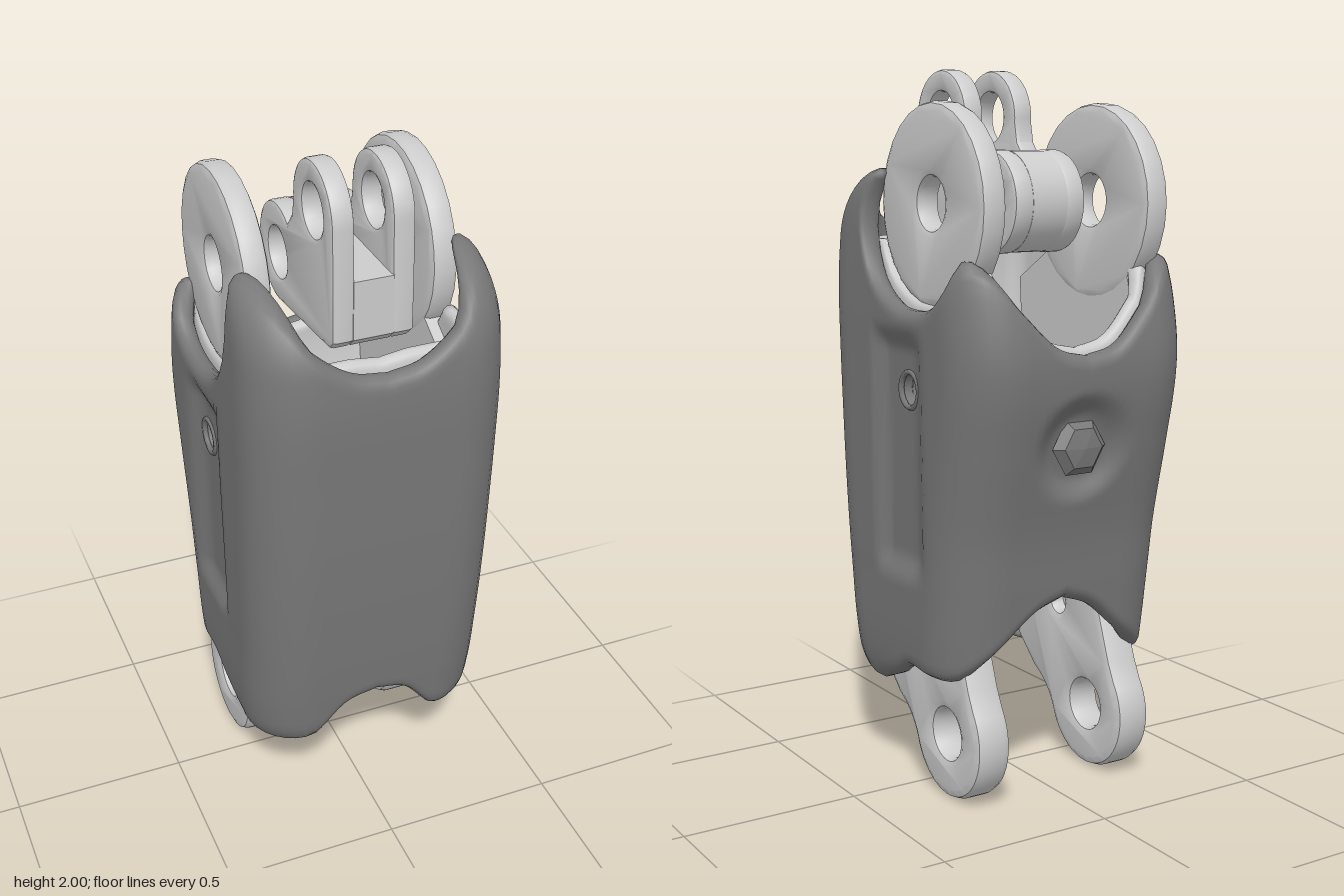
import * as THREE from 'three';
import { toCreasedNormals } from 'three/addons/utils/BufferGeometryUtils.js';

const light = new THREE.MeshStandardMaterial({ color: 0xcccccc, side: THREE.DoubleSide });
const dark = new THREE.MeshStandardMaterial({ color: 0x787878, side: THREE.DoubleSide });
const HOLE = { z: -0.045, y: 1.14, r: 0.045 };

// Smooth curve through [position, value] pairs
function curve(pairs) {
  const c = new THREE.CubicInterpolant(pairs.map(p => p[0]), pairs.map(p => p[1]), 1);
  return t => c.evaluate(t)[0];
}
const step = THREE.MathUtils.smoothstep;

// Body section by height: front, back and half width
const front = curve([[0.26, 0.31], [0.32, 0.355], [0.4, 0.37], [0.8, 0.41], [1.2, 0.43], [1.5, 0.43], [1.6, 0.41], [1.68, 0.355], [1.74, 0.27]]);
const back = curve([[0.26, -0.28], [0.36, -0.285], [0.6, -0.315], [0.75, -0.335], [1, -0.39], [1.15, -0.42], [1.25, -0.425], [1.4, -0.4], [1.5, -0.37], [1.74, -0.36]]);
const halfWidth = curve([[0.26, 0.325], [0.35, 0.345], [0.6, 0.355], [1, 0.36], [1.5, 0.36], [1.65, 0.35], [1.74, 0.325]]);

// Rim heights by angle, 0 at the front to PI at the back
const topRim = curve([[0, 1.51], [0.27, 1.53], [0.507, 1.6], [0.686, 1.69], [0.86, 1.73], [1.08, 1.69], [1.228, 1.52], [1.337, 1.44],
  [1.571, 1.375], [1.78, 1.36], [2.015, 1.375], [2.19, 1.44], [2.306, 1.5], [2.467, 1.47], [2.634, 1.38], [2.87, 1.28], [Math.PI, 1.25]]);
const bottomRim = curve([[0, 0.44], [0.27, 0.41], [0.46, 0.33], [0.55, 0.29], [0.7, 0.27], [0.95, 0.265], [1.127, 0.28],
  [1.571, 0.32], [1.85, 0.36], [2.16, 0.355], [2.35, 0.36], [2.55, 0.42], [2.87, 0.53], [Math.PI, 0.57]]);

// Columns round a rounded rectangle: arc points, then a straight run
const columns = [];
for (let k = 0; k < 4; k++) {
  for (let i = 0; i < 8; i++) columns.push({ k, a: (k + i / 8) * Math.PI / 2, f: 0 });
  for (let i = 0; i < 20; i++) columns.push({ k, a: (k + 1) * Math.PI / 2, f: i / 20 });
}
function sectionPoint({ k, a, f }, hw, zf, zb, inset) {
  const r = 0.16, cz = (zf + zb) / 2, hd = (zf - zb) / 2;
  const corner = n => {
    const m = (n + 0.5) * Math.PI / 2;
    return [Math.sign(Math.sin(m)) * (hw - r), cz + Math.sign(Math.cos(m)) * (hd - r)];
  };
  const p = corner(k), q = corner(k + 1), rr = r - inset;
  return [p[0] + (q[0] - p[0]) * f + rr * Math.sin(a), p[1] + (q[1] - p[1]) * f + rr * Math.cos(a)];
}

// Hollow sleeve with rounded rims, side holes and optional pressed details
function sleeve(t0, t1, top, bottom, detailed) {
  const rows = 56, bend = 5, half = (t1 - t0) / 2, loop = [];
  for (let j = 0; j <= rows; j++) loop.push({ v: j / rows, s: -1, e: 0 });
  for (let j = 1; j < bend; j++) { const b = j / bend * Math.PI; loop.push({ v: 1, s: -Math.cos(b), e: Math.sin(b) }); }
  for (let j = rows; j >= 0; j--) loop.push({ v: j / rows, s: 1, e: 0 });
  for (let j = 1; j < bend; j++) { const b = j / bend * Math.PI; loop.push({ v: 0, s: Math.cos(b), e: -Math.sin(b) }); }
  const pos = [], cut = [], index = [], n = columns.length, m = loop.length;
  for (const c of columns) {
    const ref = sectionPoint(c, 0.36, 0.42, -0.42, 0);
    const phi = Math.atan2(Math.abs(ref[0]) / 0.36, ref[1] / 0.42);
    const lo = bottom(phi) + half, hi = top(phi) - half;
    for (const l of loop) {
      let y = lo + (hi - lo) * l.v + half * l.e;
      let [x, z] = sectionPoint(c, halfWidth(y), front(y), back(y), t0 + half * (1 + l.s));
      if (detailed && l.s === -1) {
        // long side groove and round dimple on the back
        if (Math.abs(x) > 0.3) x -= Math.sign(x) * 0.028 * step(0.115 - z, 0, 0.04) * step(z, -0.17, -0.07) * step(y, 0.6, 0.68) * step(1.32 - y, 0, 0.08);
        if (z < -0.25) z += 0.035 * (1 - step(Math.hypot(x, y - 1), 0.08, 0.16));
      }
      const dz = z - HOLE.z, dy = y - HOLE.y, d = Math.hypot(dz, dy);
      const inside = Math.abs(x) > 0.2 && d <= HOLE.r;
      if (inside && d > 1e-5) { z = HOLE.z + dz * HOLE.r / d; y = HOLE.y + dy * HOLE.r / d; }
      pos.push(x, y, z);
      cut.push(inside);
    }
  }
  for (let i = 0; i < n; i++) for (let j = 0; j < m; j++) {
    const i2 = (i + 1) % n, j2 = (j + 1) % m;
    const a = i * m + j, b = i2 * m + j, c = i2 * m + j2, d = i * m + j2;
    if (!(cut[a] && cut[b] && cut[c] && cut[d])) index.push(a, b, c, a, c, d);
  }
  const g = new THREE.BufferGeometry();
  g.setAttribute('position', new THREE.Float32BufferAttribute(pos, 3));
  g.setIndex(index);
  g.computeVertexNormals();
  return g;
}

// Plate cut from a (z, y) outline, spanning x0 to x1, with round holes [z, y, r]
function plate(shape, x0, x1, holes = [], bevel = 0.015) {
  for (const [z, y, r] of holes) shape.holes.push(new THREE.Path().absarc(z, y, r, 0, Math.PI * 2, true));
  const g = new THREE.ExtrudeGeometry(shape, {
    depth: x1 - x0 - 2 * bevel, bevelEnabled: bevel > 0, bevelThickness: bevel, bevelSize: bevel,
    bevelOffset: -bevel, bevelSegments: 2, curveSegments: 14
  });
  g.rotateY(-Math.PI / 2).translate(x1 - bevel, 0, 0);
  return toCreasedNormals(g, 0.5);
}
const outline = pts => new THREE.Shape(pts.map(p => new THREE.Vector2(...p)));

export function createModel() {
  const group = new THREE.Group();
  const add = (name, geometry, material = light) => {
    const mesh = new THREE.Mesh(geometry, material);
    mesh.name = name;
    group.add(mesh);
    return mesh;
  };

  // Outer cover and inner liner
  add('outerShell', sleeve(0, 0.06, topRim, bottomRim, true), dark);
  add('innerLiner', sleeve(0.062, 0.105, a => Math.min(topRim(a) + 0.015, 1.535), a => bottomRim(a) + 0.03, false));

  // Bolt in the back dimple
  const bolt = add('backBolt', new THREE.SphereGeometry(0.085, 6, 4).rotateX(Math.PI / 2).scale(1, 1, 0.4), dark.clone());
  bolt.material.flatShading = true;
  bolt.position.set(0, 1, -0.365);

  for (const s of [-1, 1]) {
    const span = (a, b) => s > 0 ? [a, b] : [-b, -a];

    // Upper hinge disc
    const disc = new THREE.Shape().absarc(-0.09, 1.635, 0.272, 0, Math.PI * 2, false);
    add('upperHingeDisc', plate(disc, ...span(0.22, 0.295), [[-0.09, 1.64, 0.07]], 0.02));

    // Side plate joining the disc to the lower lug
    const web = outline([[0.2, 0.4], [0.27, 1.4], [0.1, 1.5], [-0.25, 1.5], [-0.32, 1.25], [-0.2, 0.45]]);
    add('sidePlate', plate(web, ...span(0.225, 0.28), [[HOLE.z, HOLE.y, HOLE.r]], 0));

    // Lower hinge lug
    const lug = new THREE.Shape();
    lug.moveTo(0.2, 0.56);
    lug.lineTo(-0.18, 0.56);
    lug.lineTo(-0.26, 0.34);
    lug.absarc(-0.14, 0.182, 0.18, Math.PI * 0.8, Math.PI * 1.9, false);
    lug.quadraticCurveTo(0.06, 0.19, 0.13, 0.225);
    lug.lineTo(0.22, 0.31);
    add('lowerHingeLug', plate(lug, ...span(0.18, 0.287), [[-0.14, 0.185, 0.07], [0, 0.46, 0.03]], 0.025));

    // Bushing through the side wall
    const tube = new THREE.CylinderGeometry(HOLE.r, HOLE.r, 0.115, 16, 1, true).rotateZ(Math.PI / 2);
    add('sideBushing', tube, dark).position.set(s * 0.278, HOLE.y, HOLE.z);
    const ring = new THREE.TorusGeometry(HOLE.r + 0.004, 0.008, 6, 16).rotateY(Math.PI / 2);
    add('bushingRim', ring, dark).position.set(s * 0.333, HOLE.y, HOLE.z);

    // Fork prong: tip eye, straight front and hinge barrel
    const prong = new THREE.Shape();
    prong.moveTo(0.305, 1.565);
    prong.lineTo(0.305, 1.7);
    prong.absarc(0.165, 1.865, 0.135, 0, Math.PI * 1.03, false);
    prong.lineTo(0.02, 1.8);
    prong.absarc(-0.09, 1.64, 0.14, 1.0, 4.9, false);
    prong.lineTo(0.28, 1.54);
    add('forkProng', plate(prong, ...span(0.05, 0.112), [[0.165, 1.87, 0.07], [-0.09, 1.64, 0.07]], 0.012));
  }

  // Solid middle of the fork, below the slot
  const core = new THREE.Shape();
  core.moveTo(0.305, 1.565);
  core.lineTo(0.305, 1.728);
  core.lineTo(0, 1.728);
  core.absarc(-0.09, 1.64, 0.138, 0.7, 4.9, false);
  core.lineTo(0.28, 1.54);
  add('forkCore', plate(core, -0.055, 0.055, [[-0.09, 1.64, 0.07]], 0));

  return group;
}
